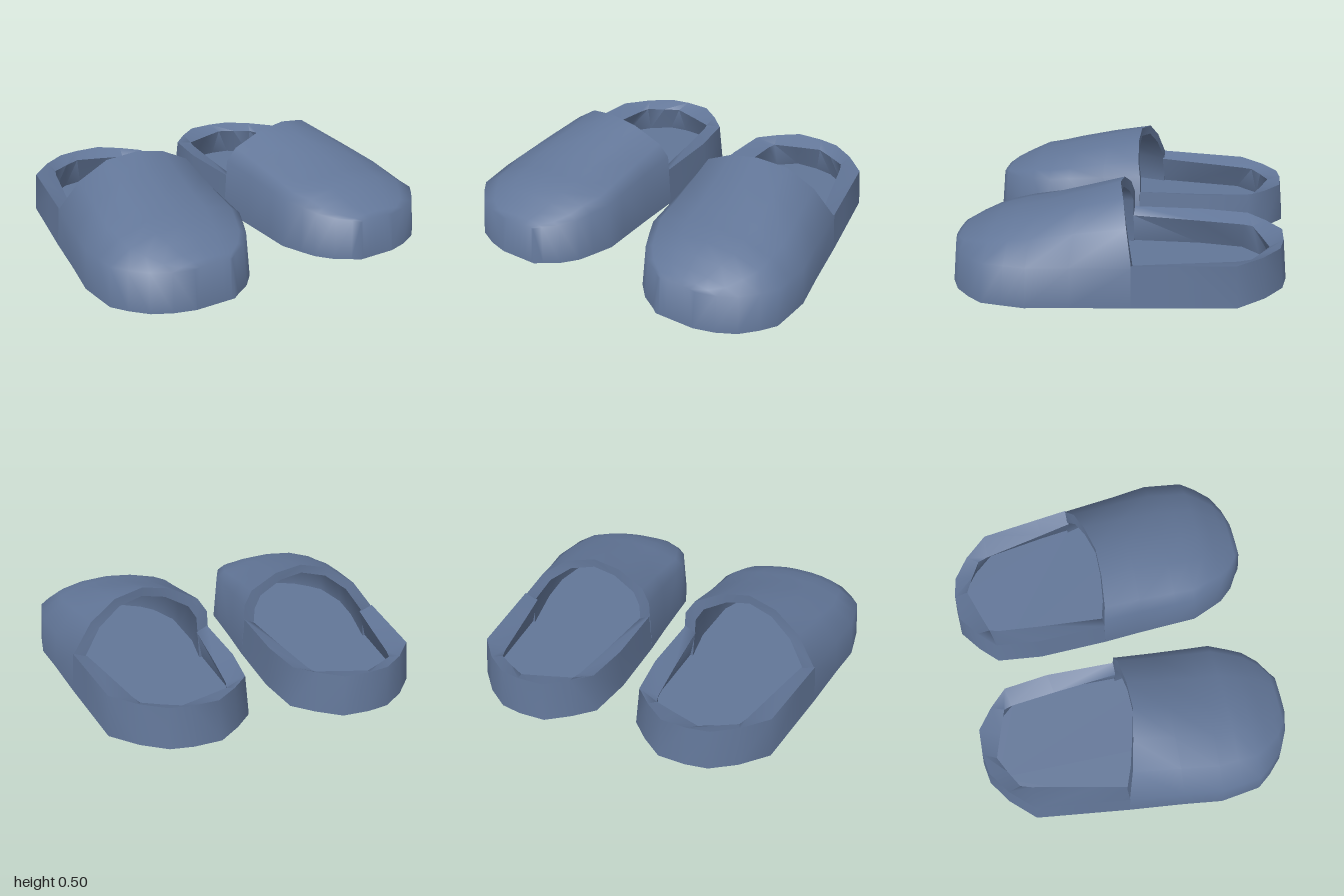
import * as THREE from 'three';
import { toCreasedNormals } from 'three/addons/utils/BufferGeometryUtils.js';

const slate = new THREE.MeshStandardMaterial({ color: 0x627698, side: THREE.DoubleSide });
slate.name = 'slateBlue';

// Upper stations, toe to opening: z, inner x, outer x, crown height
const STATIONS = [
  [0.89, 0.40, 0.62, 0.22], [0.86, 0.36, 0.73, 0.237], [0.81, 0.28, 0.83, 0.262],
  [0.73, 0.21, 0.91, 0.302], [0.65, 0.175, 0.97, 0.337], [0.54, 0.13, 0.985, 0.362],
  [0.42, 0.125, 1.0, 0.393], [0.20, 0.115, 0.97, 0.452], [-0.11, 0.10, 0.935, 0.505],
];
// Arch across the foot: position across, rise from side height to crown, z of the opening edge
const ARCH = [
  [0.02, 0.35, -0.03], [0.08, 0.62, -0.015], [0.27, 0.9, 0], [0.46, 1, 0],
  [0.66, 0.9, -0.035], [0.84, 0.55, -0.07], [0.98, 0, -0.11],
];
// Heel outline on the ground, from outer side round the back to inner side
const HEEL = [
  [0.935, -0.11], [0.91, -0.3], [0.865, -0.64], [0.74, -0.775], [0.61, -0.865], [0.49, -0.885],
  [0.34, -0.88], [0.22, -0.79], [0.12, -0.69], [0.09, -0.43], [0.10, -0.03],
];
// Inner edge of the heel rim, point for point with the outline
const RIM = [
  [0.84, -0.1], [0.80, -0.28], [0.725, -0.63], [0.705, -0.69], [0.61, -0.745], [0.52, -0.79],
  [0.38, -0.745], [0.25, -0.7], [0.235, -0.65], [0.21, -0.4], [0.18, -0.03],
];
const SIDE = 0.21, FLOOR = 0.025, MID = 0.515;

const scaleX = (x, k) => MID + (x - MID) * k;

// Smooth skin between rows of points; side = -1 mirrors in x
function loft(rows, side, crease = 1.3) {
  const n = rows[0].length, index = [];
  for (let r = 0; r < rows.length - 1; r++) {
    for (let i = 0; i < n - 1; i++) {
      const a = r * n + i, b = a + 1, c = a + n, d = c + 1;
      if (side > 0) index.push(a, b, c, b, d, c);
      else index.push(a, c, b, b, c, d);
    }
  }
  const geo = new THREE.BufferGeometry();
  const pos = rows.flat().flatMap(([x, y, z]) => [x * side, y, z]);
  geo.setAttribute('position', new THREE.Float32BufferAttribute(pos, 3));
  geo.setIndex(index);
  return toCreasedNormals(geo, crease);
}

// Flat panel from [x, z] points, facing up or down
function panel(points, side, y, up) {
  const shape = new THREE.Shape(points.map(([x, z]) => new THREE.Vector2(x * side, up ? -z : z)));
  return new THREE.ShapeGeometry(shape).rotateX(up ? -Math.PI / 2 : Math.PI / 2).translate(0, y, 0);
}

// One cross-section of the upper; the last one follows the slanted opening
function archRow([z, x0, x1, h], opening) {
  const top = ARCH.map(([u, rise, edgeZ]) =>
    [x0 + u * (x1 - x0), SIDE + rise * (h - SIDE), opening ? edgeZ : z * 0.975]);
  return [[x0, 0, opening ? -0.03 : z], ...top, [x1, 0, z]];
}

const heelRow = (kx, kz, y) => HEEL.map(([x, z]) => [scaleX(x, kx), y, z * kz]);

function slipper(side) {
  const group = new THREE.Group();
  const add = (name, geo) => {
    const mesh = new THREE.Mesh(geo, slate);
    mesh.name = name;
    group.add(mesh);
  };

  // Domed upper with its upright toe face
  const rows = STATIONS.map((s, i) => archRow(s, i === STATIONS.length - 1));
  const toeBase = rows[0].map(([x]) => [x, 0, STATIONS[0][0]]);
  add('upper', loft([toeBase, ...rows], side));

  // Thin lining that thickens into a broad rim at the opening
  const lining = rows.map((row, i) => {
    const edge = i === rows.length - 1;
    return row.map(([x, y, z]) =>
      [scaleX(x, edge ? 0.84 : 0.95), Math.max(FLOOR, y * (edge ? 0.9 : 0.95)), edge ? z : z * 0.97]);
  });
  const liningToe = lining[0].map(([x, , z]) => [x, FLOOR, z]);
  add('lining', loft([liningToe, ...lining].reverse(), side));
  add('openingRim', loft([rows.at(-1), lining.at(-1)], side));

  // Heel wall: outside, broad rim sloping inward, undercut inside
  add('heelWall', loft([
    heelRow(1, 1, 0), heelRow(0.96, 0.975, 0.222),
    RIM.map(([x, z]) => [x, 0.19, z]), heelRow(0.88, 0.94, FLOOR),
  ], side));

  // Sole and insole follow the full outline
  const inner = STATIONS.slice(0, -1).map(s => [s[1], s[0]]).reverse();
  const outer = STATIONS.slice(0, -1).map(s => [s[2], s[0]]);
  add('sole', panel([...HEEL, ...inner, ...outer], side, 0, false));
  const inset = ([x, z]) => [scaleX(x, 0.95), z * 0.97];
  const back = heelRow(0.88, 0.94, 0).map(([x, , z]) => [x, z]);
  add('insole', panel([...back, ...inner.map(inset), ...outer.map(inset)], side, FLOOR, true));
  return group;
}

export function createModel() {
  const model = new THREE.Group();
  model.name = 'slippers';
  for (const [name, side] of [['leftSlipper', 1], ['rightSlipper', -1]]) {
    const shoe = slipper(side);
    shoe.name = name;
    model.add(shoe);
  }
  return model;
}
